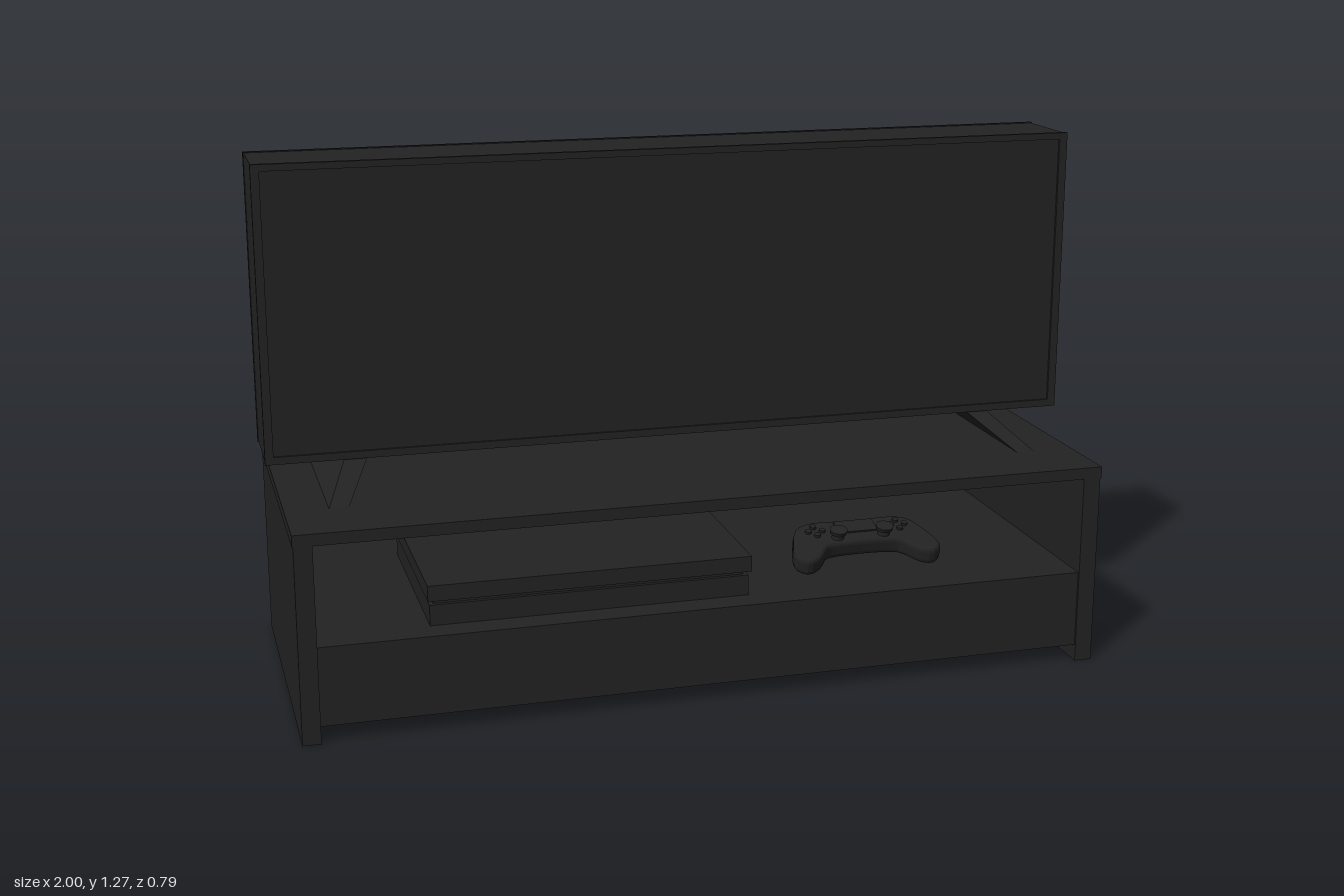
import * as THREE from 'three';

const body = new THREE.MeshStandardMaterial({ color: 0x222222 });
body.name = 'charcoal';
const trim = new THREE.MeshStandardMaterial({ color: 0x70827f });
trim.name = 'greyGreen';

function add(parent, name, geometry, material = body) {
  const mesh = new THREE.Mesh(geometry, material);
  mesh.name = name;
  parent.add(mesh);
  return mesh;
}

// box given by its limits on each axis
function block(parent, name, [x0, x1], [y0, y1], [z0, z1], material) {
  const g = new THREE.BoxGeometry(x1 - x0, y1 - y0, z1 - z0);
  g.translate((x0 + x1) / 2, (y0 + y1) / 2, (z0 + z1) / 2);
  return add(parent, name, g, material);
}

function group(parent, name) {
  const g = new THREE.Group();
  g.name = name;
  parent.add(g);
  return g;
}

// sloping foot: a box whose corners move to a wide base and a narrow top
function footGeometry(side) {
  const g = new THREE.BoxGeometry(2, 2, 2).toNonIndexed();
  const p = g.attributes.position;
  for (let i = 0; i < p.count; i++) {
    const outer = p.getX(i) * side > 0, top = p.getY(i) > 0, front = p.getZ(i) > 0;
    const x = top ? (outer ? 0.81 : 0.755) : (outer ? 0.875 : 0.83);
    const z = top ? (front ? 0.04 : -0.14) : (front ? 0.23 : -0.39);
    p.setXYZ(i, side * x, top ? 0.572 : 0.498, z);
  }
  g.computeVertexNormals();
  return g;
}

function buildCabinet(root) {
  const cabinet = group(root, 'cabinet');
  block(cabinet, 'top', [-0.975, 0.975], [0.472, 0.5], [-0.39, 0.395]);
  for (const s of [-1, 1]) {
    const x = s > 0 ? [0.93, 0.973] : [-0.973, -0.93];
    block(cabinet, 'sidePanel', x, [0, 0.472], [-0.389, 0.393]);
  }
  block(cabinet, 'lowerCase', [-0.93, 0.93], [0.04, 0.23], [-0.387, 0.387]);
  block(cabinet, 'backPanel', [-0.93, 0.93], [0.23, 0.472], [-0.387, -0.36]);
  // fitting on the left side and strip on the underside
  block(cabinet, 'sideFitting', [0.972, 0.976], [0.21, 0.25], [0.29, 0.325]);
  block(cabinet, 'rearFitting', [0.972, 0.975], [0.23, 0.238], [-0.325, -0.3]);
  block(cabinet, 'undersideStrip', [0.835, 0.875], [0.036, 0.041], [-0.38, 0.33], trim);
}

function buildTelevision(root) {
  const tv = group(root, 'television');
  block(tv, 'casing', [-0.998, 0.998], [0.57, 1.268], [-0.14, 0.064]);
  // narrow rims round the screen and the back
  const rim = new THREE.Shape([[-1, 0.568], [1, 0.568], [1, 1.27], [-1, 1.27]].map(p => new THREE.Vector2(...p)));
  rim.holes.push(new THREE.Path([[-0.98, 0.586], [-0.98, 1.254], [0.98, 1.254], [0.98, 0.586]].map(p => new THREE.Vector2(...p))));
  for (const z of [0.058, -0.147]) {
    const g = new THREE.ExtrudeGeometry(rim, { depth: 0.012, bevelEnabled: false });
    add(tv, 'bezel', g).position.z = z;
  }
  for (const s of [-1, 1]) add(tv, 'foot', footGeometry(s));
}

function buildConsole(root) {
  const box = group(root, 'gameConsole');
  block(box, 'lowerSlab', [-0.665, 0.1], [0.23, 0.28], [-0.2, 0.32]);
  block(box, 'groove', [-0.655, 0.09], [0.28, 0.292], [-0.19, 0.31]);
  block(box, 'upperSlab', [-0.67, 0.105], [0.292, 0.33], [-0.2, 0.33]);
}

function buildController(root) {
  const pad = group(root, 'controller');
  pad.position.set(0.42, 0.312, 0.2);
  pad.rotation.x = 0.25;
  // outline seen from above, with two grips reaching forward
  const half = [[0, -0.045], [0.1, -0.05], [0.14, -0.035], [0.165, 0.02], [0.178, 0.08],
    [0.16, 0.1], [0.135, 0.09], [0.1, 0.045], [0.06, 0.035]];
  const mirrored = half.slice(1).reverse().map(([x, z]) => [-x, z]);
  const curve = new THREE.CatmullRomCurve3([...half, ...mirrored].map(([x, z]) => new THREE.Vector3(x, z, 0)), true);
  const outline = new THREE.Shape(curve.getPoints(48).slice(0, -1).map(p => new THREE.Vector2(p.x, p.y)));
  const shell = new THREE.ExtrudeGeometry(outline, {
    depth: 0.02, bevelEnabled: true, bevelThickness: 0.012, bevelSize: 0.009, bevelSegments: 3 });
  shell.rotateX(Math.PI / 2);
  add(pad, 'shell', shell);
  block(pad, 'touchPad', [-0.05, 0.05], [0.01, 0.016], [-0.045, 0.005]);
  for (const s of [-1, 1]) {
    add(pad, 'stickStem', new THREE.CylinderGeometry(0.012, 0.016, 0.02, 16)).position.set(s * 0.06, 0.018, 0.02);
    add(pad, 'stickCap', new THREE.CylinderGeometry(0.022, 0.02, 0.01, 20)).position.set(s * 0.06, 0.03, 0.02);
    // four buttons on each side
    for (let i = 0; i < 4; i++) {
      const a = i * Math.PI / 2;
      add(pad, 'button', new THREE.CylinderGeometry(0.008, 0.008, 0.008, 12))
        .position.set(s * 0.108 + 0.018 * Math.cos(a), 0.014, -0.012 + 0.018 * Math.sin(a));
    }
  }
}

export function createModel() {
  const root = new THREE.Group();
  root.name = 'mediaUnit';
  buildCabinet(root);
  buildTelevision(root);
  buildConsole(root);
  buildController(root);
  return root;
}
